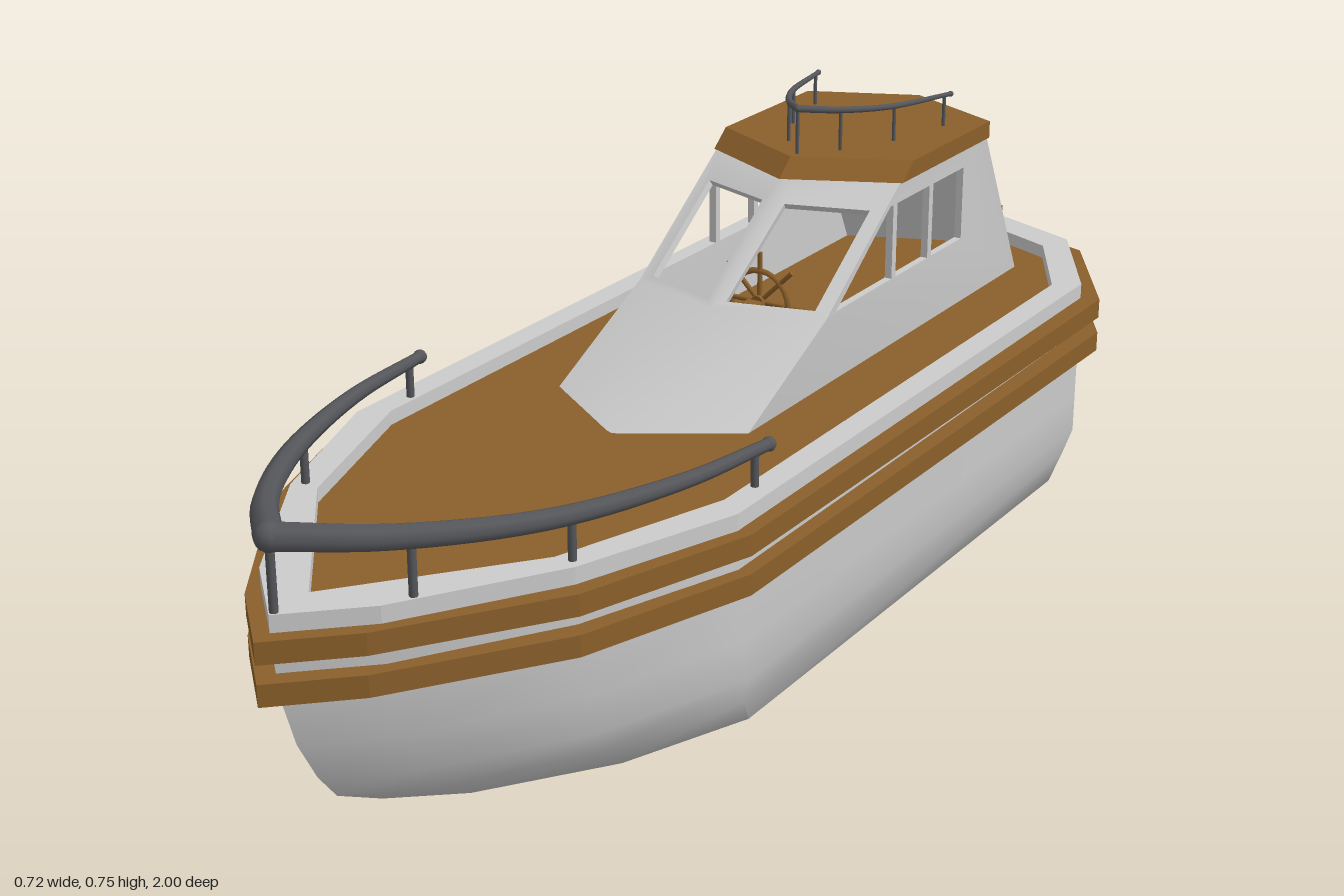
import * as THREE from 'three';
import { mergeGeometries, toCreasedNormals } from 'three/addons/utils/BufferGeometryUtils.js';

const grey = new THREE.MeshStandardMaterial({ color: 0xcccccc, side: THREE.DoubleSide });
const wood = new THREE.MeshStandardMaterial({ color: 0x8a5f2a });
const metal = new THREE.MeshStandardMaterial({ color: 0x55565a });

// Half outlines [x, z] from stern to bow
const HULL = [[0, -0.97], [0.21, -0.89], [0.33, -0.69], [0.33, 0.4], [0.24, 0.65], [0.1, 0.87], [0, 0.965]];
const STRAKE = [[0, -0.985], [0.225, -0.915], [0.36, -0.7], [0.352, 0.4], [0.26, 0.67], [0.1, 0.9], [0, 0.995]];
const INNER = [[0, -0.95], [0.03, -0.9], [0.19, -0.835], [0.29, -0.66], [0.29, 0.37], [0.2, 0.64], [0, 0.89]];
const ROOF = [[0, -0.715], [0.174, -0.635], [0.174, -0.335], [0, -0.25]];

const V = (x, y, z) => new THREE.Vector3(x, y, z);
const fullLoop = half => [...half, ...half.slice(1, -1).reverse().map(([x, z]) => [-x, z])];
const toPoints = list => list.map(([a, b]) => new THREE.Vector2(a, b));

function add(parent, name, geometry, material) {
  const mesh = new THREE.Mesh(geometry, material);
  mesh.name = name;
  parent.add(mesh);
  return mesh;
}

// Horizontal plate with its top at yTop, optionally with a hole
function plate(half, yTop, height, holeHalf) {
  const shape = new THREE.Shape(toPoints(fullLoop(half)));
  if (holeHalf) shape.holes.push(new THREE.Path(toPoints(fullLoop(holeHalf))));
  return new THREE.ExtrudeGeometry(shape, { depth: height, bevelEnabled: false })
    .rotateX(Math.PI / 2).translate(0, yTop, 0);
}

// Upright plate drawn in [z, y], reaching from x0 to x0 + width
function uprightPlate(outline, holes, x0, width) {
  const flip = list => toPoints(list.map(([z, y]) => [-z, y]));
  const shape = new THREE.Shape(flip(outline));
  holes.forEach(h => shape.holes.push(new THREE.Path(flip(h))));
  return new THREE.ExtrudeGeometry(shape, { depth: width, bevelEnabled: false })
    .rotateY(Math.PI / 2).translate(x0, 0, 0);
}

// Four-cornered panel (counter-clockwise from outside), thickened inwards
function panel([a, b, c, d], hole, thick = 0.012) {
  const shape = new THREE.Shape(toPoints([[0, 0], [1, 0], [1, 1], [0, 1]]));
  if (hole) shape.holes.push(new THREE.Path(toPoints(hole)));
  const geo = new THREE.ExtrudeGeometry(shape, { depth: thick, bevelEnabled: false });
  const n = b.clone().sub(a).cross(d.clone().sub(a)).normalize();
  const pos = geo.attributes.position;
  for (let i = 0; i < pos.count; i++) {
    const u = pos.getX(i), v = pos.getY(i);
    const p = a.clone().lerp(b, u).lerp(d.clone().lerp(c, u), v).addScaledVector(n, pos.getZ(i) - thick);
    pos.setXYZ(i, p.x, p.y, p.z);
  }
  return geo;
}

// Mirror copy across x = 0 with the winding restored
function mirrored(geo) {
  const copy = geo.clone(), src = geo.attributes.position, dst = copy.attributes.position;
  for (let i = 0; i < src.count; i++) {
    const j = i - (i % 3) + [0, 2, 1][i % 3];
    dst.setXYZ(i, -src.getX(j), src.getY(j), src.getZ(j));
  }
  return copy;
}

// Hull lofted through rings of [y, width scale, bow z, stern z]
function hullGeometry() {
  const levels = [
    [0.37, 1, 0.965, 0.97], [0.28, 1, 0.955, 0.97], [0.2, 1, 0.93, 0.97], [0.135, 1, 0.895, 0.97],
    [0.09, 0.955, 0.86, 0.965], [0.04, 0.91, 0.77, 0.94], [0.015, 0.71, 0.5, 0.6], [0, 0, 0, 0],
  ];
  const loop = fullLoop(HULL), n = loop.length, verts = [], index = [];
  levels.forEach(([y, s, bow, stern], k) => loop.forEach(([x, z], i) => {
    verts.push(x * s, y, z > 0 ? z * bow / 0.965 : z * stern / 0.97);
    if (k === levels.length - 1) return;
    const a = k * n + i, b = k * n + (i + 1) % n;
    index.push(a, b, b + n);
    if (k < levels.length - 2) index.push(a, b + n, a + n);
  }));
  const geo = new THREE.BufferGeometry();
  geo.setAttribute('position', new THREE.Float32BufferAttribute(verts, 3));
  geo.setIndex(index);
  return toCreasedNormals(geo, 1.0);
}

// Two-sided rail, thickest at the front, with posts down to baseY
function railing(name, points, rFront, rEnd, postR, postStops, baseY) {
  const group = new THREE.Group(), segs = 24, sides = 8;
  group.name = name;
  for (const s of [1, -1]) {
    const curve = new THREE.CatmullRomCurve3(points.map(([x, y, z]) => V(s * x, y, z)));
    const tube = new THREE.TubeGeometry(curve, segs, 1, sides);
    const pos = tube.attributes.position, p = V(0, 0, 0);
    for (let i = 0; i < pos.count; i++) {
      const t = Math.floor(i / (sides + 1)) / segs, c = curve.getPointAt(t);
      p.fromBufferAttribute(pos, i).sub(c).multiplyScalar(rFront + (rEnd - rFront) * t).add(c);
      pos.setXYZ(i, p.x, p.y, p.z);
    }
    add(group, 'rail', tube, metal);
    add(group, 'railEnd', new THREE.SphereGeometry(rEnd * 1.2, 10, 8), metal).position.copy(curve.getPointAt(1));
    for (const t of postStops) {
      const c = curve.getPointAt(t), h = c.y - baseY;
      add(group, 'post', new THREE.CylinderGeometry(postR, postR, h, 8), metal).position.set(c.x, baseY + h / 2, c.z);
    }
  }
  const [x, y, z] = points[0];
  add(group, 'railTip', new THREE.SphereGeometry(rFront, 10, 8), metal).position.set(x, y, z);
  add(group, 'frontPost', new THREE.CylinderGeometry(postR, postR, y - baseY, 8), metal)
    .position.set(x, (y + baseY) / 2, z);
  return group;
}

function cabinGeometry() {
  const w = 0.17;
  const hoodTop = V(0, 0.49, -0.05), hoodSide = V(w, 0.485, -0.11);
  const half = [
    // Hood
    panel([V(0, 0.37, 0.24), V(w, 0.37, 0.13), hoodSide, hoodTop]),
    // Windshield
    panel([hoodTop, hoodSide, V(w, 0.65, -0.345), V(0, 0.65, -0.285)],
      [[0.1, 0.05], [0.87, 0.05], [0.87, 0.75], [0.12, 0.75]]),
    // Back wall
    panel([V(w, 0.37, -0.77), V(0, 0.37, -0.845), V(0, 0.65, -0.71), V(w, 0.65, -0.63)]),
    // Side wall with three windows
    uprightPlate([[0.13, 0.37], [-0.11, 0.485], [-0.345, 0.65], [-0.63, 0.65], [-0.77, 0.37]], [
      [[-0.14, 0.49], [-0.315, 0.49], [-0.315, 0.612], [-0.305, 0.612]],
      [[-0.328, 0.49], [-0.435, 0.49], [-0.435, 0.612], [-0.328, 0.612]],
      [[-0.448, 0.49], [-0.553, 0.49], [-0.553, 0.612], [-0.448, 0.612]],
    ], w - 0.012, 0.012),
  ];
  return toCreasedNormals(mergeGeometries([...half, ...half.map(mirrored)]), 0.95);
}

function steeringWheel() {
  const wheel = new THREE.Group();
  wheel.name = 'steeringWheel';
  add(wheel, 'wheelRim', new THREE.TorusGeometry(0.052, 0.005, 6, 24), wood);
  add(wheel, 'wheelHub', new THREE.CylinderGeometry(0.012, 0.012, 0.018, 12).rotateX(Math.PI / 2), wood);
  for (let i = 0; i < 4; i++) {
    add(wheel, 'spoke', new THREE.CylinderGeometry(0.004, 0.004, 0.165, 6), wood).rotation.z = i * Math.PI / 4;
  }
  add(wheel, 'wheelStand', new THREE.BoxGeometry(0.03, 0.09, 0.02), wood).position.set(0, -0.04, 0.02);
  wheel.position.set(0, 0.455, -0.195);
  return wheel;
}

export function createModel() {
  const boat = new THREE.Group();
  boat.name = 'boat';

  // Hull, rim, deck and rubbing strakes
  add(boat, 'hull', hullGeometry(), grey);
  add(boat, 'gunwale', plate(HULL, 0.4, 0.035, INNER), grey);
  add(boat, 'deck', plate(INNER, 0.378, 0.01), wood);
  add(boat, 'upperStrake', plate(STRAKE, 0.375, 0.032, INNER), wood);
  add(boat, 'lowerStrake', plate(STRAKE, 0.316, 0.032, INNER), wood);
  add(boat, 'sternPost', uprightPlate(
    [[-0.92, 0.035], [-0.96, 0.04], [-1, 0.09], [-1, 0.402], [-0.965, 0.402], [-0.95, 0.09]], [], -0.03, 0.06), wood);

  // Cabin with a roof whose front edge leans back
  add(boat, 'cabin', cabinGeometry(), grey);
  const roof = plate(ROOF, 0.671, 0.028), pos = roof.attributes.position;
  for (let i = 0; i < pos.count; i++) {
    if (pos.getY(i) > 0.66 && pos.getZ(i) > -0.4) pos.setZ(i, pos.getZ(i) - 0.035);
  }
  roof.computeVertexNormals();
  add(boat, 'roof', roof, wood);
  boat.add(steeringWheel());

  // Railings on bow and roof
  boat.add(railing('bowRailing', [[0, 0.503, 0.955], [0.1, 0.486, 0.85], [0.21, 0.467, 0.67],
    [0.28, 0.458, 0.46], [0.305, 0.453, 0.28]], 0.02, 0.009, 0.006, [0.23, 0.52, 0.96], 0.39));
  boat.add(railing('roofRailing', [[0, 0.744, -0.305], [0.045, 0.737, -0.355], [0.09, 0.729, -0.44],
    [0.125, 0.722, -0.585]], 0.006, 0.004, 0.003, [0.23, 0.56, 0.95], 0.665));

  return boat;
}
